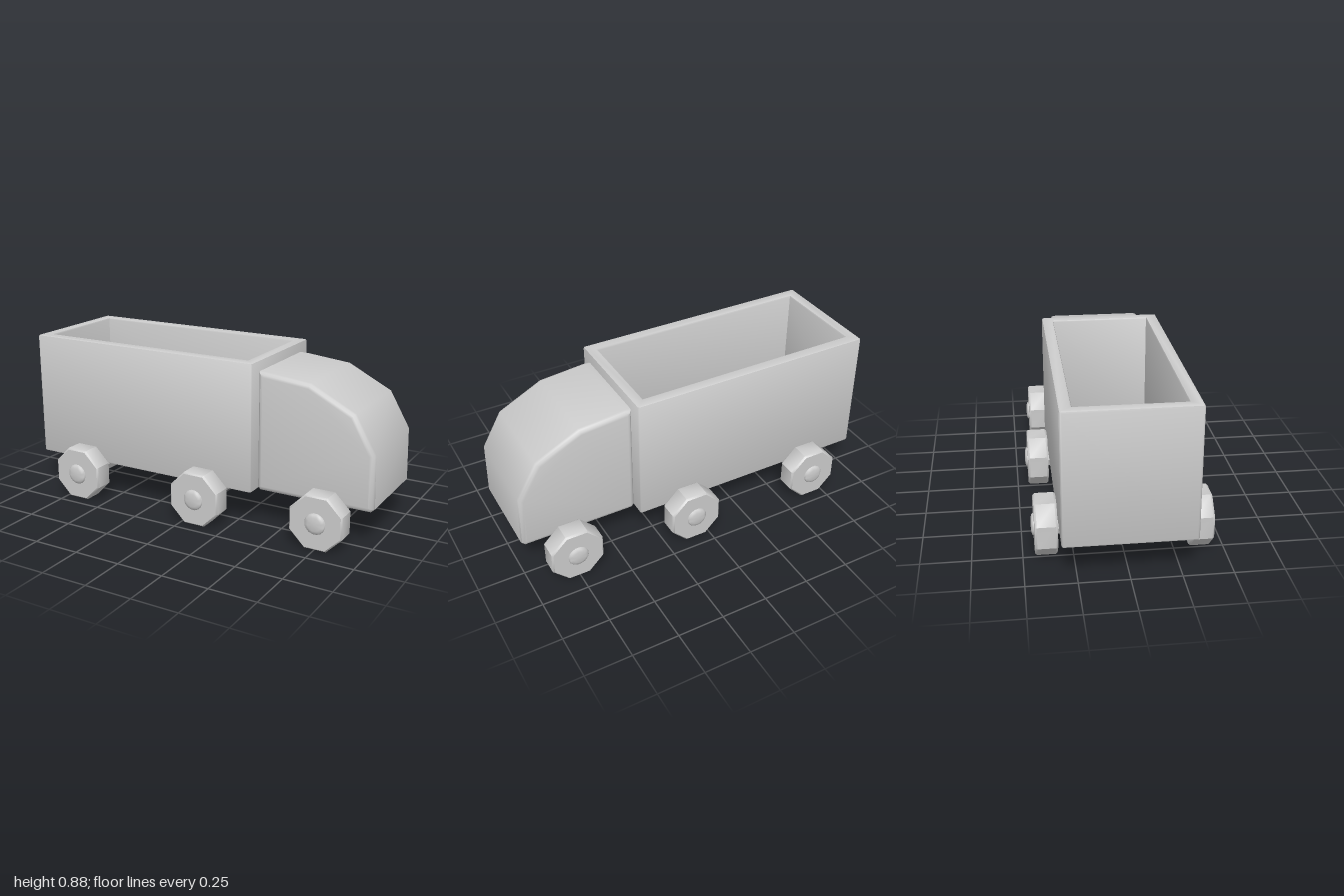
import * as THREE from 'three';
import { toCreasedNormals } from 'three/addons/utils/BufferGeometryUtils.js';

const material = new THREE.MeshStandardMaterial({ color: 0xcccccc });

function add(parent, name, geometry, crease = 0.75) {
  const mesh = new THREE.Mesh(toCreasedNormals(geometry, crease), material);
  mesh.name = name;
  parent.add(mesh);
  return mesh;
}

// Rectangle outline with rounded corners, centred on (cx, 0)
function roundedRect(target, cx, w, h, r) {
  const x = w / 2 - r, y = h / 2 - r;
  target.absarc(cx + x, y, r, 0, Math.PI / 2);
  target.absarc(cx - x, y, r, Math.PI / 2, Math.PI);
  target.absarc(cx - x, -y, r, Math.PI, Math.PI * 1.5);
  target.absarc(cx + x, -y, r, Math.PI * 1.5, Math.PI * 2);
  target.closePath();
  return target;
}

// Extrusion along z from z0 to z1, rounded inside the drawn outline
function bevelled(shape, z0, z1, bevel, segments) {
  return new THREE.ExtrudeGeometry(shape, {
    depth: z1 - z0 - 2 * bevel, bevelEnabled: true, bevelThickness: bevel,
    bevelSize: bevel, bevelOffset: -bevel, bevelSegments: segments, curveSegments: 3,
  }).translate(0, 0, z0 + bevel);
}

// Turned solid around the z axis, its profile given as [radius, z]
function turned(profile, sides) {
  return new THREE.LatheGeometry(profile.map(([r, z]) => new THREE.Vector2(r, z)), sides)
    .rotateY(Math.PI / sides).rotateX(Math.PI / 2);
}

export function createModel() {
  const truck = new THREE.Group();
  truck.name = 'truck';

  // Open cargo box: four walls and a floor
  const cargo = new THREE.Group();
  cargo.name = 'cargoBox';
  truck.add(cargo);
  const rim = roundedRect(new THREE.Shape(), -0.322, 1.356, 0.65, 0.012);
  const opening = new THREE.Path();
  opening.moveTo(-0.94, -0.263).lineTo(-0.94, 0.263).lineTo(0.298, 0.263).lineTo(0.298, -0.263).closePath();
  rim.holes.push(opening);
  add(cargo, 'cargoWalls', bevelled(rim, 0.195, 0.88, 0.01, 2).rotateX(-Math.PI / 2));
  add(cargo, 'cargoFloor', new THREE.BoxGeometry(1.28, 0.065, 0.56).translate(-0.321, 0.227, 0));

  // Cab with a faceted, smoothly shaded nose
  const side = new THREE.Shape([
    [0.357, 0.21], [0.372, 0.193], [0.978, 0.193], [0.995, 0.21], [0.988, 0.49],
    [0.878, 0.68], [0.64, 0.8], [0.39, 0.825], [0.357, 0.825],
  ].map(([x, y]) => new THREE.Vector2(x, y)));
  add(truck, 'cab', bevelled(side, -0.263, 0.263, 0.026, 3), 0.8);

  // Axles with a wheel and hub cap on each end: [x, inner face of wheel]
  const wheelSets = [['rearAxle', -0.675, 0.328], ['middleAxle', 0.08, 0.328], ['frontAxle', 0.753, 0.293]];
  for (const [name, x, inner] of wheelSets) {
    const set = new THREE.Group();
    set.name = name;
    set.position.set(x, 0.145, 0);
    truck.add(set);
    add(set, 'axleRod', new THREE.CylinderGeometry(0.055, 0.055, inner * 2 + 0.04, 8).rotateX(Math.PI / 2), 0.3);
    for (const s of [1, -1]) {
      const end = new THREE.Group();
      end.name = s > 0 ? 'leftWheel' : 'rightWheel';
      end.position.z = s * inner;
      if (s < 0) end.rotation.y = Math.PI;
      set.add(end);
      add(end, 'tyre', turned([
        [0, 0], [0.145, 0], [0.1535, 0.01], [0.1535, 0.102], [0.145, 0.112], [0, 0.112],
      ], 8), 0.7);
      add(end, 'hubCap', turned([
        [0.056, 0.1], [0.056, 0.114], [0.05, 0.121], [0.035, 0.126], [0, 0.127],
      ], 16), 1);
    }
  }
  return truck;
}
